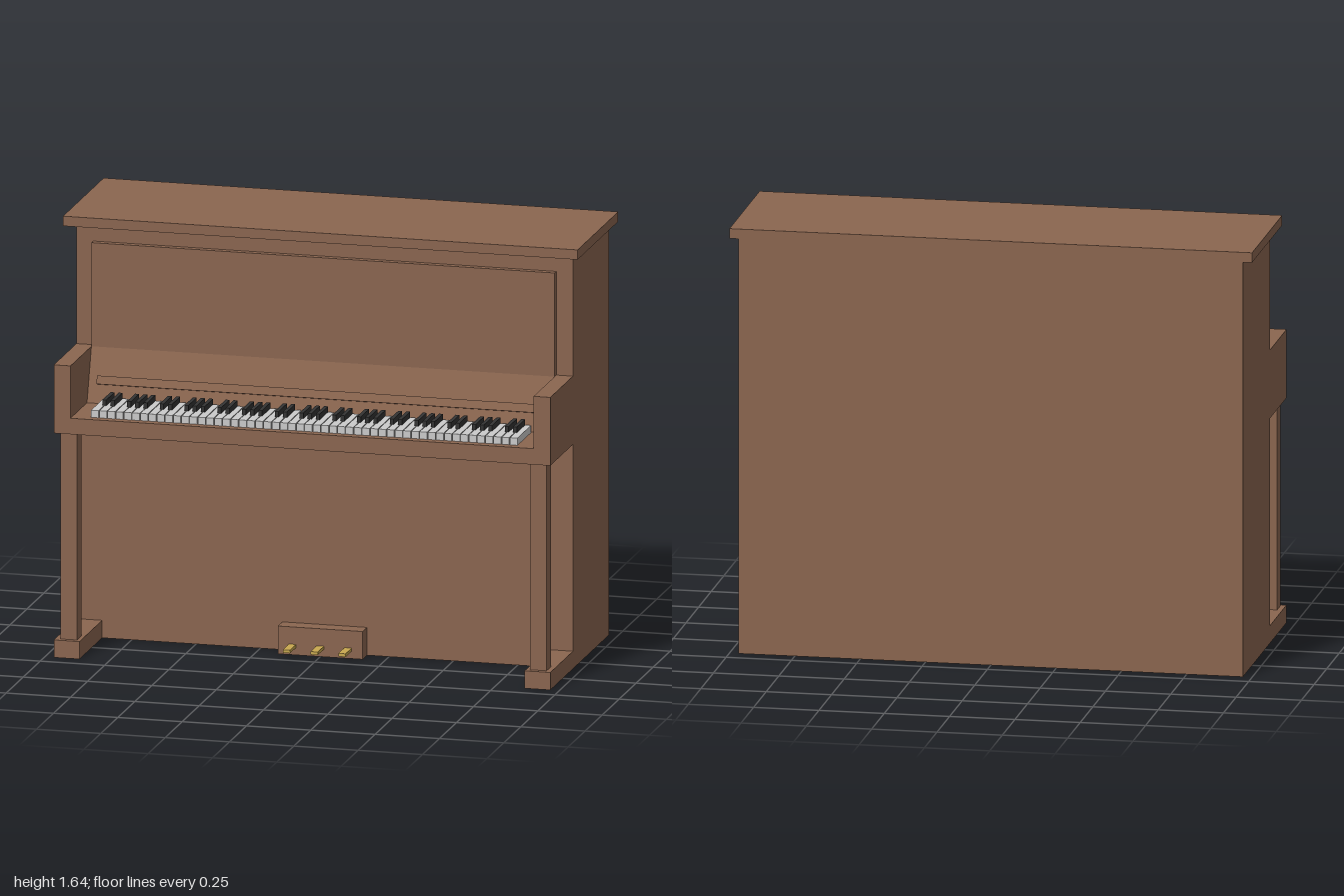
import * as THREE from 'three';

const material = (color) => new THREE.MeshStandardMaterial({ color });

export function createModel() {
  const model = new THREE.Group();
  model.name = 'uprightPiano';
  const wood = material(0x8b6650);
  const ivory = material(0xcccccc);
  const ebony = material(0x333333);
  const brass = material(0xc8a850);

  // Box given by its extents along each axis
  function block(name, [x0, x1], [y0, y1], [z0, z1], mat = wood, parent = model) {
    const mesh = new THREE.Mesh(new THREE.BoxGeometry(x1 - x0, y1 - y0, z1 - z0), mat);
    mesh.position.set((x0 + x1) / 2, (y0 + y1) / 2, (z0 + z1) / 2);
    mesh.name = name;
    parent.add(mesh);
    return mesh;
  }

  // Case
  block('body', [-0.965, 0.965], [0, 1.605], [-0.433, 0.1]);
  block('lid', [-1, 1], [1.605, 1.643], [-0.433, 0.165]);
  block('keybed', [-0.9, 0.9], [0.87, 0.932], [0.1, 0.433]);

  // Upper panel running down into the sloping fallboard, drawn in side profile
  const profile = new THREE.Shape();
  profile.moveTo(0.1, 0.932);
  profile.lineTo(0.19, 0.932);
  profile.lineTo(0.125, 1.135);
  profile.lineTo(0.125, 1.537);
  profile.lineTo(0.1, 1.537);
  const panelGeometry = new THREE.ExtrudeGeometry(profile, { depth: 1.8, bevelEnabled: false });
  panelGeometry.rotateY(-Math.PI / 2);
  panelGeometry.translate(0.9, 0, 0);
  const panel = new THREE.Mesh(panelGeometry, wood);
  panel.name = 'upperPanelAndFallboard';
  model.add(panel);

  // Ledge lying along the slope
  const ledge = block('fallboardLedge', [-0.865, 0.865], [1.0, 1.032], [0.147, 0.181]);
  ledge.rotation.x = -Math.atan2(0.065, 0.203);

  // Cheeks, legs and feet on both sides
  for (const side of [-1, 1]) {
    const prefix = side > 0 ? 'left' : 'right';
    const span = (a, b) => (side > 0 ? [a, b] : [-b, -a]);
    block(prefix + 'Cheek', span(0.9, 0.965), [0.87, 1.135], [0.1, 0.433]);
    block(prefix + 'Leg', span(0.88, 0.945), [0.068, 0.87], [0.35, 0.412]);
    block(prefix + 'Foot', span(0.865, 0.965), [0, 0.068], [0.1, 0.433]);
  }

  // Keyboard: 52 white keys starting at C, black keys on the boundaries
  const keyboard = new THREE.Group();
  keyboard.name = 'keyboard';
  model.add(keyboard);
  const count = 52, start = -0.83, pitch = 1.66 / count;
  for (let i = 0; i < count; i++) {
    const x = start + i * pitch;
    block('whiteKey', [x + 0.0015, x + pitch - 0.0015], [0.932, 0.96], [0.2, 0.4], ivory, keyboard);
    const hasBlack = [0, 1, 3, 4, 5].includes(i % 7) && i < count - 1;
    if (hasBlack) {
      const c = x + pitch;
      block('blackKey', [c - 0.0075, c + 0.0075], [0.945, 0.982], [0.2, 0.322], ebony, keyboard);
    }
  }

  // Pedals
  block('pedalBox', [-0.165, 0.165], [0, 0.108], [0.1, 0.165]);
  for (const x of [-0.108, 0, 0.108]) {
    block('pedal', [x - 0.014, x + 0.014], [0.029, 0.041], [0.16, 0.255], brass);
  }
  return model;
}
